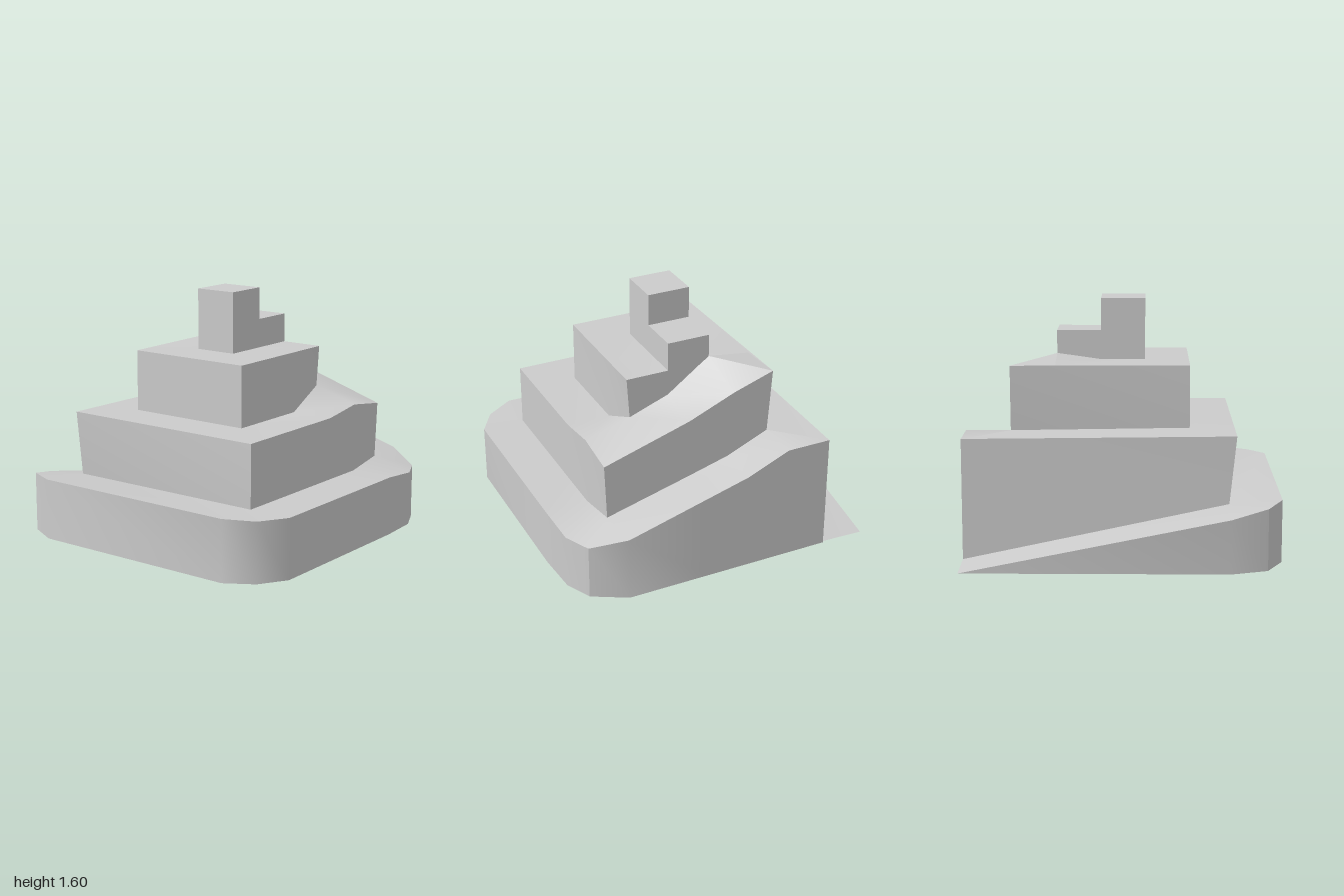
import * as THREE from 'three';
import { toCreasedNormals } from 'three/addons/utils/BufferGeometryUtils.js';

const material = new THREE.MeshStandardMaterial({ color: 0xcccccc });
const thrice = (...p) => [p, p, p];
const G = 0.143, M = 0.428, L = 0.714; // half widths of core, middle and lower tiers

// Every rail has 16 stations: back right, back left, front left, front right, up the right ramp.
const outer1 = [
  [1, 0, -1], [-0.67, 0.34, -1], [-0.9, 0.39, -0.92], [-1, 0.4, -0.72],
  [-1, 0.4, 0.71], [-0.89, 0.39, 0.89], [-0.71, 0.39, 1],
  [G, 0.39, 1], [M, 0.39, 1], [0.71, 0.36, 0.98], [0.88, 0.36, 0.9], [1, 0.43, 0.68],
  [1, 0.58, G], [1, 0.66, -G], [1, 0.78, -0.42], [1, 0.78, -L],
];
const inner1 = [
  [1, 0.01, -L], ...thrice(-0.67, 0.37, -0.71), ...thrice(-L, 0.39, L),
  [G, 0.39, L], [M, 0.39, L], ...thrice(L, 0.43, 0.7),
  [L, 0.58, G], [L, 0.66, -G], [L, 0.78, -0.42], [L, 0.78, -0.42],
];
const outer2 = [
  [1, 0.78, -L], ...thrice(-L, 0.8, -L), ...thrice(-L, 0.8, L),
  [G, 0.8, L], [M, 0.84, L], ...thrice(L, 0.8, L),
  [L, 0.98, 0.13], [L, 1.11, -0.18], [L, 1.2, -0.45], [L, 1.2, -0.45],
];
const inner2 = [
  [L, 0.78, -0.42], ...thrice(-M, 0.8, -M), ...thrice(-M, 0.8, M),
  [G, 0.8, M], [M, 0.93, 0.41], ...thrice(M, 0.93, 0.41),
  [M, 1.03, G], [M, 1.24, -G], [M, 1.2, -M], [M, 1.2, -M],
];
const outer3 = [
  [L, 1.2, -0.45], ...thrice(-M, 1.2, -M), ...thrice(-M, 1.2, M),
  [G, 1.2, M], [M, 1.2, M], ...thrice(M, 1.2, M),
  [M, 1.2, G], [M, 1.24, -G], [M, 1.2, -M], [M, 1.2, -M],
];
const inner3 = [
  [M, 1.2, -M], ...thrice(-G, 1.2, -G), ...thrice(-G, 1.2, G),
  [G, 1.2, G], [G, 1.2, G], ...thrice(G, 1.2, G),
  [G, 1.2, G], [G, 1.2, -G], [-G, 1.2, -G], [-G, 1.2, -G],
];

// Surface stretched between two rails, skipping collapsed triangles
function strip(name, a, b) {
  const pos = [];
  const same = (p, q) => p.every((v, k) => v === q[k]);
  const tri = (p, q, r) => {
    if (!same(p, q) && !same(q, r) && !same(p, r)) pos.push(...p, ...q, ...r);
  };
  for (let i = 0; i < a.length - 1; i++) {
    tri(a[i], a[i + 1], b[i]);
    tri(a[i + 1], b[i + 1], b[i]);
  }
  const geometry = new THREE.BufferGeometry();
  geometry.setAttribute('position', new THREE.Float32BufferAttribute(pos, 3));
  const mesh = new THREE.Mesh(toCreasedNormals(geometry, 0.6), material);
  mesh.name = name;
  return mesh;
}

function block(name, x, y0, y1) {
  const mesh = new THREE.Mesh(new THREE.BoxGeometry(2 * G, y1 - y0, 2 * G), material);
  mesh.position.set(x, (y0 + y1) / 2, 0);
  mesh.name = name;
  return mesh;
}

export function createModel() {
  const group = new THREE.Group();
  group.name = 'spiralTower';
  const base = outer1.map(([x, , z]) => [x, 0, z]);
  const loop = [...base, base[0]];

  // Underside
  group.add(strip('underside', loop.map(() => [0, 0, 0]), loop));
  // Walls and rising paths, from the ground to the top terrace
  group.add(
    strip('lowerWall', base, outer1),
    strip('lowerPath', outer1, inner1),
    strip('middleWall', inner1, outer2),
    strip('middlePath', outer2, inner2),
    strip('upperWall', inner2, outer3),
    strip('upperTerrace', outer3, inner3),
  );
  // Last step and summit
  group.add(block('topStep', 2 * G, 1.2, 1.39), block('summit', 0, 1.2, 1.6));
  return group;
}
